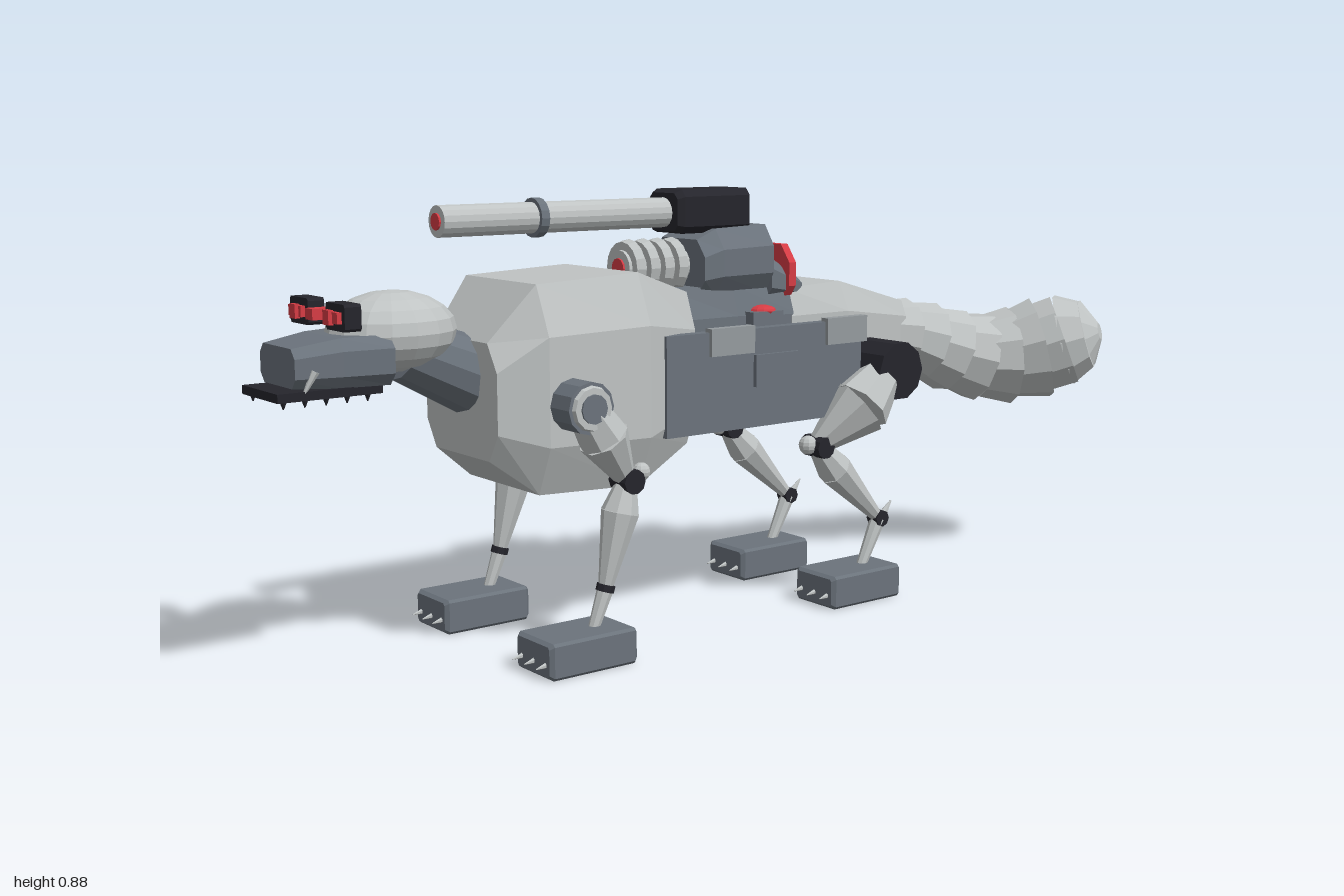
import * as THREE from 'three';

const mat = (name, color) => {
  const m = new THREE.MeshStandardMaterial({ color, flatShading: true });
  m.name = name;
  return m;
};

export function createModel() {
  const light = mat('lightGrey', 0xbfc3c3), slate = mat('slateGrey', 0x6b737c);
  const mid = mat('midGrey', 0x959b9e), black = mat('black', 0x25252c), red = mat('red', 0xd63c44);
  const root = new THREE.Group();
  root.name = 'robotBeast';
  const body = new THREE.Group();
  body.name = 'machine';
  body.position.x = -0.0125;
  root.add(body);

  const add = (name, geo, m, x = 0, y = 0, z = 0) => {
    const mesh = new THREE.Mesh(geo, m);
    mesh.name = name;
    mesh.position.set(x, y, z);
    body.add(mesh);
    return mesh;
  };
  const box = (name, m, x, y, z, w, h, d) => add(name, new THREE.BoxGeometry(w, h, d), m, x, y, z);
  const ball = (name, m, p, r) => add(name, new THREE.SphereGeometry(r, 10, 8), m, ...p);

  // Tapered tube from point a to point b
  const link = (name, m, a, b, ra, rb, sides = 8) => {
    const A = new THREE.Vector3(...a), B = new THREE.Vector3(...b);
    const dir = B.clone().sub(A);
    const mesh = add(name, new THREE.CylinderGeometry(rb, ra, dir.length(), sides), m);
    mesh.position.copy(A).add(B).multiplyScalar(0.5);
    mesh.quaternion.setFromUnitVectors(new THREE.Vector3(0, 1, 0), dir.normalize());
    return mesh;
  };

  // Octagonal loft; sections run front to back as [z, bottom, top, halfWidth]
  const loft = (name, m, sections, kx = 0.75, ky = 0.24, x = 0) => {
    const rings = sections.map(([z, b, t, w]) => {
      const c = (t - b) * ky, k = w * kx;
      return [[k, b], [w, b + c], [w, t - c], [k, t], [-k, t], [-w, t - c], [-w, b + c], [-k, b]]
        .map(([px, py]) => [px, py, z]);
    });
    const pos = [];
    const tri = (...ps) => ps.forEach(p => pos.push(...p));
    for (let r = 0; r < rings.length - 1; r++) {
      for (let i = 0; i < 8; i++) {
        const j = (i + 1) % 8, a = rings[r], b = rings[r + 1];
        tri(a[i], b[i], a[j]);
        tri(a[j], b[i], b[j]);
      }
    }
    const f = rings[0], e = rings[rings.length - 1];
    for (let i = 1; i < 7; i++) {
      tri(f[0], f[i], f[i + 1]);
      tri(e[0], e[i + 1], e[i]);
    }
    const g = new THREE.BufferGeometry();
    g.setAttribute('position', new THREE.Float32BufferAttribute(pos, 3));
    g.computeVertexNormals();
    return add(name, g, m, x);
  };

  // Torso
  loft('chest', light, [[0.6, 0.39, 0.61, 0.13], [0.51, 0.32, 0.715, 0.167],
    [0.28, 0.31, 0.725, 0.167], [0.13, 0.37, 0.675, 0.11]]);
  loft('waist', slate, [[0.17, 0.43, 0.68, 0.1], [0, 0.42, 0.68, 0.085], [-0.16, 0.43, 0.67, 0.09]]);
  loft('hips', light, [[-0.14, 0.43, 0.665, 0.09], [-0.27, 0.42, 0.675, 0.122], [-0.5, 0.475, 0.615, 0.06]]);

  // Neck and head
  link('neck', slate, [0, 0.54, 0.58], [0, 0.6, 0.72], 0.075, 0.06, 12);
  const skull = add('skull', new THREE.SphereGeometry(1, 16, 10), light, 0, 0.635, 0.742);
  skull.scale.set(0.102, 0.075, 0.124);
  loft('muzzle', slate, [[0.965, 0.555, 0.625, 0.07], [0.88, 0.55, 0.638, 0.085], [0.79, 0.55, 0.64, 0.104]], 0.8, 0.25);
  box('jaw', black, 0, 0.543, 0.9, 0.145, 0.016, 0.2);
  box('noseSensor', red, 0, 0.676, 0.88, 0.028, 0.02, 0.045);
  for (const s of [-1, 1]) {
    loft('eyeFrame', black, [[0.887, 0.652, 0.7, 0.036], [0.855, 0.652, 0.7, 0.036]], 0.9, 0.1, s * 0.071);
    box('eye', red, s * 0.071, 0.676, 0.89, 0.05, 0.02, 0.012);
    box('eyePupil', red, s * 0.066, 0.676, 0.898, 0.022, 0.026, 0.01);
    link('fang', light, [s * 0.075, 0.585, 0.93], [s * 0.068, 0.535, 0.955], 0.008, 0.001, 6);
    for (let i = 0; i < 5; i++) {
      const z = 0.985 - i * 0.04;
      link('tooth', black, [s * 0.062, 0.537, z], [s * 0.062, 0.522, z], 0.007, 0.001, 5);
    }
  }

  // Side panels with hatches and lamps
  for (const s of [-1, 1]) {
    box('sidePanel', slate, s * 0.144, 0.5, -0.02, 0.025, 0.2, 0.51);
    box('upperHatch', mid, s * 0.154, 0.58, 0.075, 0.02, 0.055, 0.11);
    box('upperHatch', mid, s * 0.154, 0.58, -0.23, 0.02, 0.055, 0.11);
    box('lowerHatch', slate, s * 0.156, 0.515, -0.04, 0.018, 0.065, 0.115);
    box('lampShelf', slate, s * 0.085, 0.613, -0.06, 0.05, 0.025, 0.08);
    const lamp = add('lamp', new THREE.SphereGeometry(0.03, 12, 8), red, s * 0.082, 0.625, -0.065);
    lamp.scale.y = 0.4;
    for (const z of [0.16, -0.2]) box('panelBracket', slate, s * 0.11, 0.52, z, 0.07, 0.05, 0.04);
  }

  // Turret with the ringed short cannon
  loft('turret', slate, [[0.085, 0.66, 0.775, 0.085], [0.04, 0.66, 0.795, 0.09], [-0.09, 0.66, 0.8, 0.09]], 0.68, 0.3);
  loft('turretTail', slate, [[-0.09, 0.64, 0.74, 0.085], [-0.18, 0.64, 0.69, 0.075]], 0.7, 0.3);
  loft('warningPlate', red, [[-0.132, 0.635, 0.757, 0.09], [-0.15, 0.635, 0.757, 0.09]], 0.7, 0.3);
  link('shortCannon', light, [0, 0.722, 0.06], [0, 0.722, 0.235], 0.036, 0.036, 16);
  for (let i = 0; i < 4; i++) {
    const z = 0.105 + i * 0.035;
    link('coolingRing', light, [0, 0.722, z], [0, 0.722, z + 0.018], 0.057, 0.052, 16);
  }
  link('shortCannonCore', red, [0, 0.722, 0.23], [0, 0.722, 0.239], 0.02, 0.02, 12);

  // Long gun above the turret
  loft('gunHousing', black, [[0.125, 0.792, 0.868, 0.047], [0.11, 0.787, 0.875, 0.054], [-0.055, 0.787, 0.875, 0.054]], 0.77, 0.16);
  link('gunBarrel', light, [0, 0.829, 0.1], [0, 0.829, 0.643], 0.03, 0.03, 16);
  link('gunCollar', slate, [0, 0.829, 0.42], [0, 0.829, 0.438], 0.038, 0.038, 16);
  link('gunCore', red, [0, 0.829, 0.64], [0, 0.829, 0.647], 0.016, 0.016, 12);

  // Foot with three claws
  const foot = (x, z) => {
    loft('foot', slate, [[z + 0.098, 0.006, 0.064, 0.054], [z + 0.09, 0, 0.07, 0.061],
      [z - 0.09, 0, 0.07, 0.061], [z - 0.098, 0.006, 0.064, 0.054]], 0.92, 0.08, x);
    for (const d of [-0.04, 0, 0.04])
      link('claw', light, [x + d, 0.028, z + 0.095], [x + d, 0.024, z + 0.118], 0.006, 0.001, 6);
  };

  for (const s of [-1, 1]) {
    // Front leg
    const x = s * 0.19;
    link('shoulder', slate, [s * 0.13, 0.492, 0.46], [s * 0.228, 0.492, 0.46], 0.05, 0.05, 12);
    link('shoulderCap', light, [s * 0.226, 0.492, 0.46], [s * 0.236, 0.492, 0.46], 0.044, 0.04, 12);
    link('shoulderHub', slate, [s * 0.234, 0.492, 0.46], [s * 0.24, 0.492, 0.46], 0.028, 0.028, 12);
    link('frontUpperLeg', light, [s * 0.2, 0.49, 0.455], [s * 0.2, 0.43, 0.415], 0.038, 0.05);
    link('frontUpperLeg', light, [s * 0.2, 0.43, 0.415], [x, 0.35, 0.362], 0.05, 0.022);
    link('frontKnee', black, [x - 0.027, 0.34, 0.355], [x + 0.027, 0.34, 0.355], 0.024, 0.024, 10);
    ball('frontKneeCap', light, [x, 0.352, 0.322], 0.018);
    link('frontLowerLeg', light, [x, 0.33, 0.358], [x, 0.28, 0.372], 0.022, 0.037);
    link('frontLowerLeg', light, [x, 0.28, 0.372], [x, 0.14, 0.407], 0.037, 0.014);
    link('frontAnkle', black, [x, 0.145, 0.405], [x, 0.132, 0.409], 0.018, 0.018);
    link('frontShin', light, [x, 0.135, 0.408], [x, 0.065, 0.435], 0.016, 0.011);
    foot(x, 0.472);

    // Rear leg
    const r = s * 0.15;
    link('hipMotor', black, [s * 0.06, 0.49, -0.335], [s * 0.217, 0.49, -0.335], 0.062, 0.062, 10);
    link('thigh', light, [s * 0.18, 0.475, -0.31], [s * 0.182, 0.42, -0.25], 0.045, 0.066);
    link('thigh', light, [s * 0.182, 0.42, -0.25], [r, 0.345, -0.165], 0.066, 0.024);
    link('rearKnee', black, [r - s * 0.03, 0.34, -0.16], [r + s * 0.03, 0.34, -0.16], 0.023, 0.023, 10);
    ball('rearKneeCap', light, [r, 0.345, -0.135], 0.02);
    link('rearLowerLeg', light, [r, 0.335, -0.165], [r, 0.285, -0.21], 0.022, 0.038);
    link('rearLowerLeg', light, [r, 0.285, -0.21], [r, 0.17, -0.33], 0.038, 0.014);
    link('rearAnkle', black, [r - 0.016, 0.163, -0.337], [r + 0.016, 0.163, -0.337], 0.018, 0.018);
    link('rearSpur', light, [r, 0.16, -0.345], [r, 0.195, -0.375], 0.011, 0.002, 6);
    link('rearShin', light, [r, 0.16, -0.337], [r, 0.065, -0.29], 0.017, 0.011);
    foot(r, -0.253);
  }

  // Curving tail of flared segments: [x, y, z, radius]
  const tail = [[0, 0.547, -0.47, 0.07], [0.002, 0.535, -0.54, 0.076], [0.008, 0.512, -0.61, 0.086],
    [0.022, 0.487, -0.68, 0.092], [0.045, 0.468, -0.75, 0.098], [0.08, 0.47, -0.815, 0.106],
    [0.125, 0.488, -0.872, 0.112], [0.165, 0.508, -0.91, 0.108], [0.205, 0.522, -0.94, 0.08], [0.232, 0.53, -0.955, 0.02]];
  for (let i = 0; i < tail.length - 1; i++) {
    const a = tail[i], b = tail[i + 1], flare = i < 6 ? 1.06 : 1;
    link('tailSegment', light, a.slice(0, 3), b.slice(0, 3), i < 7 ? a[3] * 0.95 : a[3], b[3] * flare, 10);
  }
  return root;
}
